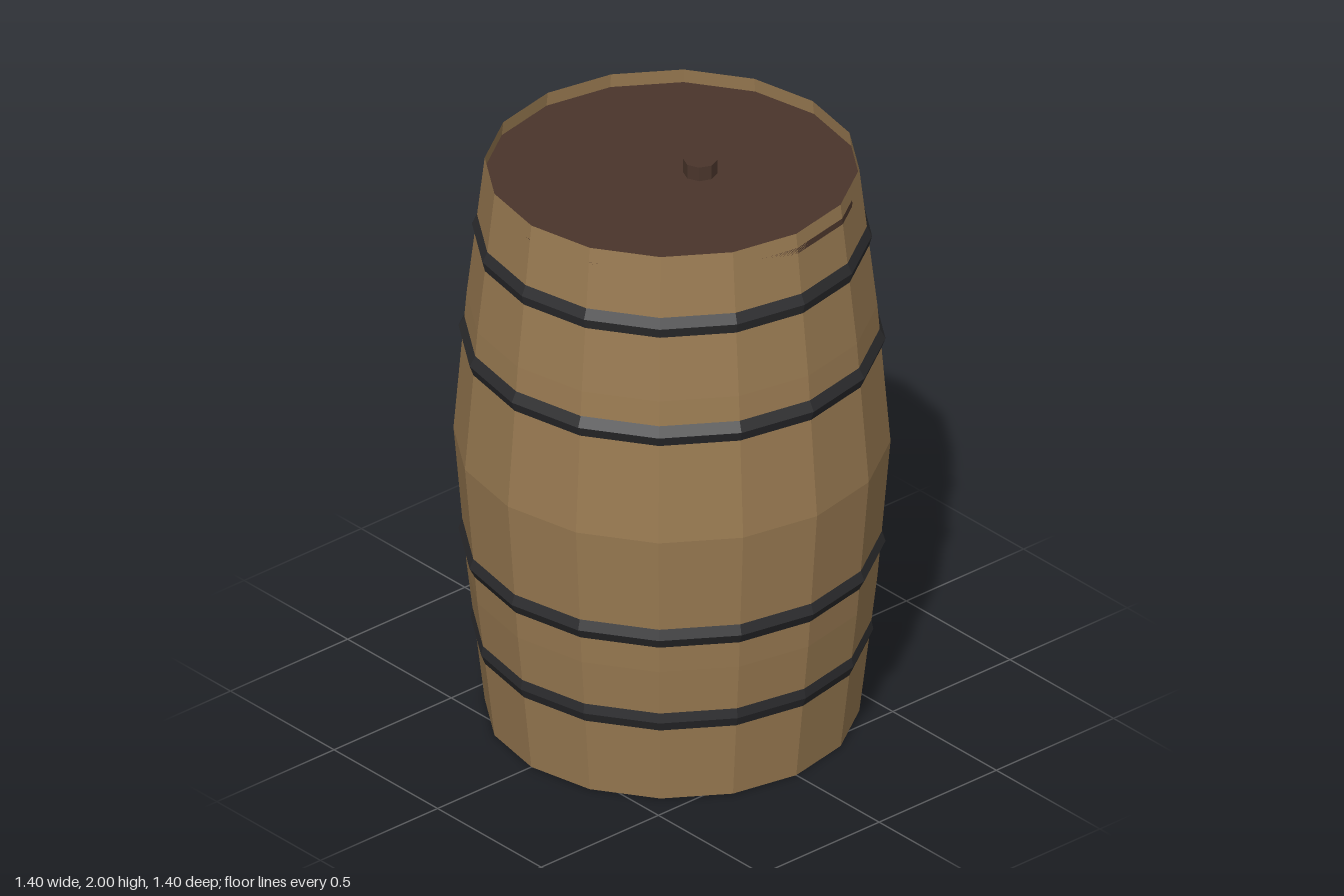
import * as THREE from 'three';

const SIDES = 16;

// Stave profile, from the bottom to the top: [radius, height]
const PROFILE = [[0.6, 0], [0.658, 0.5], [0.7, 1], [0.658, 1.5], [0.6, 2]];

// Radius of the wall at a given height
function wallRadius(y) {
  const i = Math.min(Math.floor(y / 0.5), PROFILE.length - 2);
  return THREE.MathUtils.lerp(PROFILE[i][0], PROFILE[i + 1][0], (y - PROFILE[i][1]) / 0.5);
}

function material(color, side = THREE.FrontSide) {
  return new THREE.MeshStandardMaterial({ color, flatShading: true, side });
}

function lathe(points) {
  return new THREE.LatheGeometry(points.map(([r, y]) => new THREE.Vector2(r, y)), SIDES);
}

export function createModel() {
  const model = new THREE.Group();
  model.name = 'barrel';
  const wood = material(0x9a7b52, THREE.DoubleSide);
  const lidWood = material(0x4a352b);
  const iron = material(0x2b2b2d, THREE.DoubleSide);

  function add(name, geometry, mat, x = 0, y = 0, z = 0) {
    const mesh = new THREE.Mesh(geometry, mat);
    mesh.name = name;
    mesh.position.set(x, y, z);
    model.add(mesh);
  }

  // Bulging open wall and the closed underside
  add('staves', lathe(PROFILE), wood);
  add('bottom', lathe([[0, 0], [0.6, 0]]), wood, 0, 0.005, 0);

  // Recessed lid with an off-centre bung
  const lidY = 1.95;
  add('lid', new THREE.CylinderGeometry(wallRadius(lidY), wallRadius(lidY - 0.02), 0.02, SIDES), lidWood, 0, lidY - 0.01, 0);
  add('bung', new THREE.CylinderGeometry(0.055, 0.055, 0.05, 8), lidWood, 0.085, lidY + 0.025, 0.04);

  // Iron hoops with a ridge round the middle
  const half = 0.037;
  for (const [y, ridge] of [[0.303, 0.645], [0.63, 0.684], [1.378, 0.684], [1.755, 0.641]]) {
    add('hoop', lathe([
      [wallRadius(y - half) - 0.001, y - half],
      [ridge, y],
      [wallRadius(y + half) - 0.001, y + half],
    ]), iron);
  }
  return model;
}
